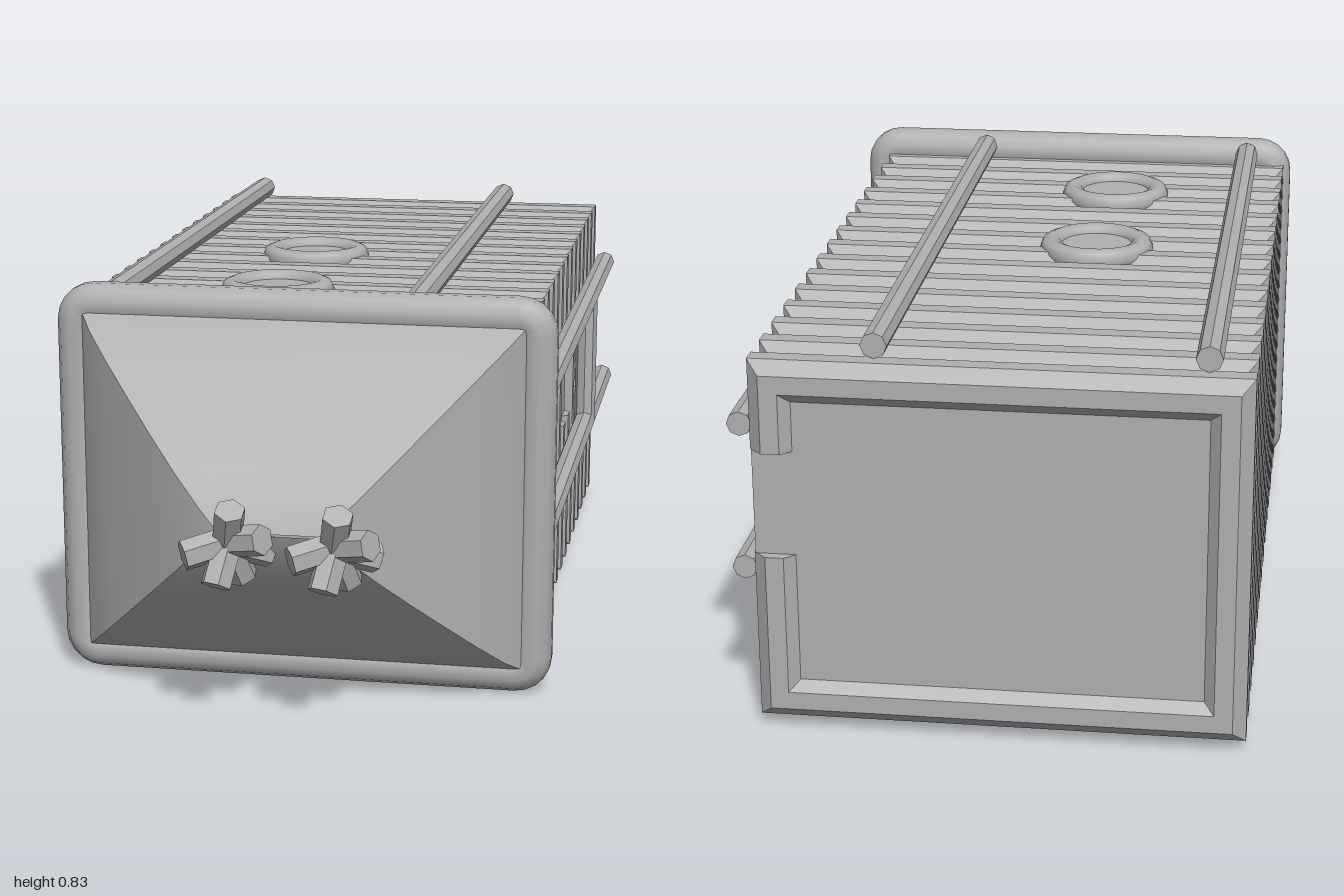
import * as THREE from 'three';
import { toCreasedNormals } from 'three/addons/utils/BufferGeometryUtils.js';

const metal = new THREE.MeshStandardMaterial({ color: 0xb0b0b0 });
metal.name = 'grey metal';

// Skin a list of cross-section loops; crease angle controls the smoothing.
function skin(loops, crease, closedPath, closedLoop = true) {
  const pos = [];
  const tri = (...pts) => pts.forEach((p) => pos.push(...p));
  const n = loops.length, m = loops[0].length;
  for (let i = 0; i < (closedPath ? n : n - 1); i++) {
    const A = loops[i], B = loops[(i + 1) % n];
    for (let j = 0; j < (closedLoop ? m : m - 1); j++) {
      const k = (j + 1) % m;
      tri(A[j], B[j], B[k], A[j], B[k], A[k]);
    }
  }
  if (!closedPath) {
    const A = loops[0], B = loops[n - 1];
    for (let j = 1; j < m - 1; j++) {
      tri(A[0], A[j], A[j + 1]);
      tri(B[0], B[j + 1], B[j]);
    }
  }
  const g = new THREE.BufferGeometry();
  g.setAttribute('position', new THREE.Float32BufferAttribute(pos, 3));
  return toCreasedNormals(g, crease);
}

// Sweep a polygonal tube along [x, y, normalX, normalY] points in an xy plane.
function sweep(path, z, r, sides, crease, closed) {
  const loops = path.map(([x, y, nx, ny]) => {
    const loop = [];
    for (let j = 0; j < sides; j++) {
      const a = ((j + 0.5) / sides) * Math.PI * 2;
      const R = r / Math.cos(Math.PI / sides);
      const c = Math.cos(a) * R;
      loop.push([x + nx * c, y + ny * c, z + Math.sin(a) * R]);
    }
    return loop;
  });
  return skin(loops, crease, closed);
}

export function createModel() {
  const model = new THREE.Group();
  const add = (name, geo) => {
    const mesh = new THREE.Mesh(geo, metal);
    mesh.name = name;
    model.add(mesh);
    return mesh;
  };
  const box = (name, x0, x1, y0, y1, z0, z1) =>
    add(name, new THREE.BoxGeometry(x1 - x0, y1 - y0, z1 - z0))
      .position.set((x0 + x1) / 2, (y0 + y1) / 2, (z0 + z1) / 2);
  const rod = (name, a, b, r, sides) => {
    const d = b.clone().sub(a);
    const geo = new THREE.CylinderGeometry(r, r, d.length(), sides).toNonIndexed();
    const mesh = add(name, toCreasedNormals(geo, 0.3));
    mesh.position.copy(a).add(b).multiplyScalar(0.5);
    mesh.quaternion.setFromUnitVectors(new THREE.Vector3(0, 1, 0), d.normalize());
  };
  const V = (x, y, z) => new THREE.Vector3(x, y, z);

  // Inner hull
  const L = -0.457, R = 0.417, B = 0.068, T = 0.73;
  box('hull', L, R, B, T, -0.975, 0.57);

  // Ribs around the hull, interrupted on the left side where windows sit
  const corners = [[R, T, 1, 1], [L, T, -1, 1], [L, B, -1, -1], [R, B, 1, -1]];
  const cutRib = [[R, 0.59, 1, 0], ...corners, [R, 0.375, 1, 0]];
  const windowRibs = [1, 6, 7, 9, 10, 11, 12, 13];
  for (let i = -1; i <= 13; i++) {
    const cut = windowRibs.includes(i);
    add('rib', sweep(cut ? cutRib : corners, 0.42 - i * 0.1055, 0.044, 8, 0.3, !cut));
  }
  box('middleWindow', R - 0.01, 0.447, 0.36, 0.575, -0.35, -0.135);
  box('rearSidePlate', R - 0.01, 0.458, 0.375, 0.59, -0.975, -0.93);

  // Rails on the left side and the roof
  for (const y of [0.33, 0.63]) rod('sideRail', V(0.488, y, 0.54), V(0.488, y, -0.945), 0.025, 8);
  rod('railPost', V(0.488, 0.33, -0.44), V(0.488, 0.63, -0.44), 0.025, 8);
  for (const x of [-0.412, 0.222]) rod('roofRail', V(x, 0.8, 0.54), V(x, 0.8, -0.945), 0.026, 8);

  // Roof hatches
  for (const z of [-0.16, 0.265]) {
    const ring = add('hatchRing', new THREE.TorusGeometry(0.098, 0.025, 8, 32));
    ring.rotation.x = Math.PI / 2;
    ring.position.set(-0.12, 0.768, z);
    const disc = add('hatchCover', new THREE.CylinderGeometry(0.09, 0.09, 0.05, 32));
    disc.position.set(-0.12, 0.75, z);
  }

  // Front rim: rounded rectangle tube with a bulkhead inside
  const rim = [];
  const cy = 0.415, cr = 0.035;
  [[1, 1], [-1, 1], [-1, -1], [1, -1]].forEach(([sx, sy], q) => {
    for (let k = 0; k <= 5; k++) {
      const a = (q + k / 5) * Math.PI / 2;
      const nx = Math.cos(a), ny = Math.sin(a);
      rim.push([sx * 0.44 + nx * cr, cy + sy * 0.337 + ny * cr, nx, ny]);
    }
  });
  add('frontRim', sweep(rim, 0.567, 0.042, 12, 0.7, true));
  box('bulkhead', -0.475, 0.475, cy - 0.372, cy + 0.372, 0.55, 0.585);

  // Bulging four-sided nose, as [inset, z] profile
  const profile = [[0, 0.585], [0.04, 0.65], [0.09, 0.705], [0.15, 0.763],
    [0.21, 0.818], [0.27, 0.868], [0.33, 0.908], [0.368, 0.925]];
  const sides = [[1, -1], [1, 1], [-1, 1], [-1, -1], [1, -1]];
  const noseLoops = sides.map(([sx, sy]) =>
    profile.map(([d, z]) => [sx * (0.47 - d), cy + sy * (0.37 - d), z]));
  add('nose', skin(noseLoops, 0.5, false, false));

  // Two clusters of six-sided nozzles on the nose tip
  const arms = [[0.015, 0.075, 0.042], [-0.015, -0.078, 0.042], [-0.078, -0.02, 0.042],
    [0.078, 0.02, 0.042], [0.075, -0.03, -0.045], [0.02, -0.08, -0.04]];
  for (const x of [-0.08, 0.13]) {
    const c = V(x, 0.4, 0.93);
    for (const d of arms) rod('nozzle', c, c.clone().add(V(...d)), 0.031, 6);
  }
  return model;
}
